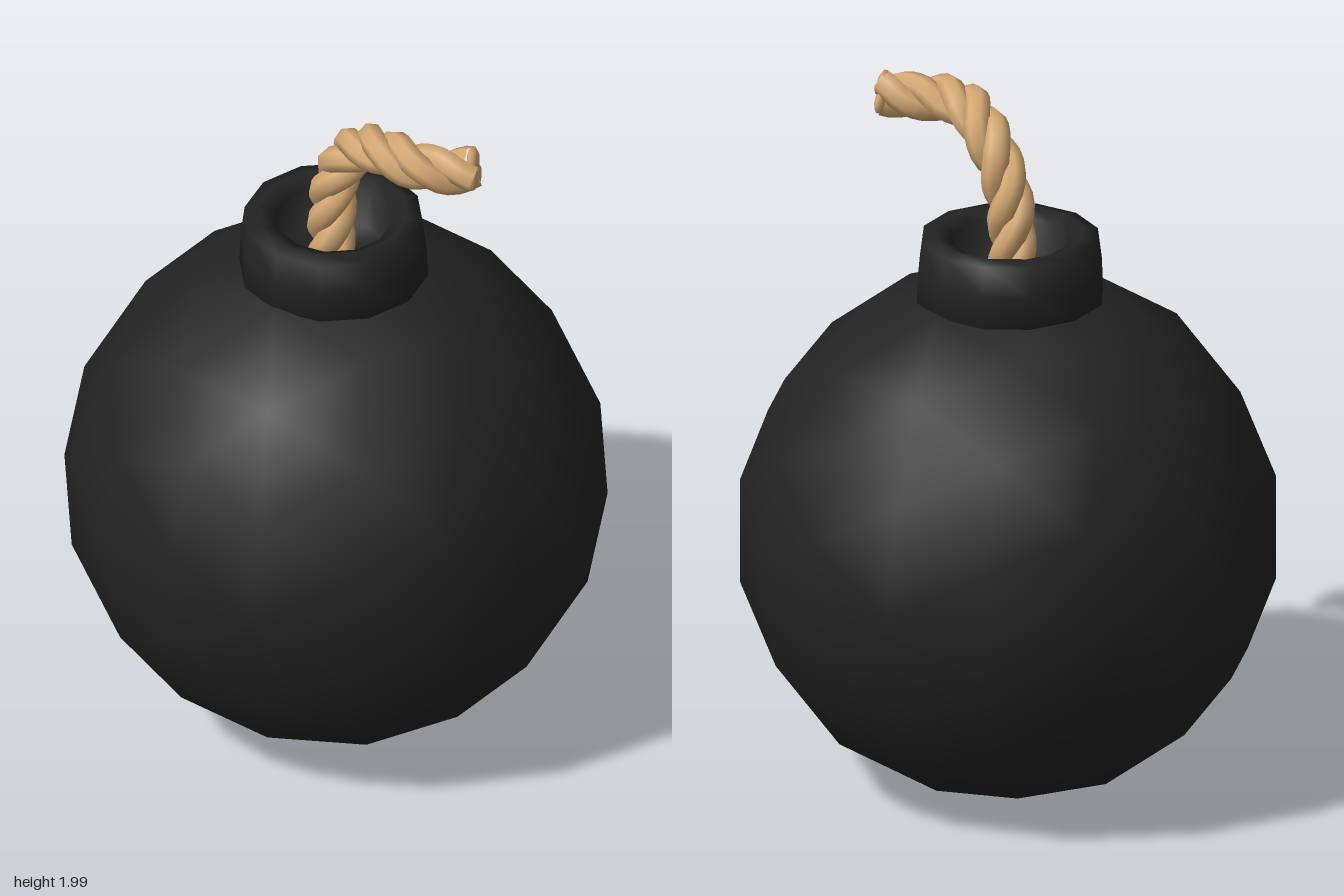
import * as THREE from 'three';

export function createModel() {
  const group = new THREE.Group();
  const iron = new THREE.MeshStandardMaterial({ color: 0x232323 });
  iron.name = 'black iron';
  const hemp = new THREE.MeshStandardMaterial({ color: 0xd4a873 });
  hemp.name = 'tan rope';

  const add = (name, geometry, material, parent = group) => {
    const mesh = new THREE.Mesh(geometry, material);
    mesh.name = name;
    parent.add(mesh);
    return mesh;
  };

  // Round body, coarse facets with smooth normals
  const body = add('body', new THREE.IcosahedronGeometry(0.75, 2), iron);
  body.position.y = 0.747;

  // Collar with a sunken well for the fuse
  const profile = [
    [0.22, 1.42], [0.262, 1.44], [0.258, 1.53], [0.247, 1.615], [0.205, 1.625],
    [0.162, 1.605], [0.14, 1.5], [0, 1.497],
  ].map(([r, y]) => new THREE.Vector2(r, y));
  const collar = add('collar', new THREE.LatheGeometry(profile, 12), iron);
  collar.position.x = -0.008;

  // Fuse: three strands twisted around a bent centre line
  const fuse = new THREE.Group();
  fuse.name = 'fuse';
  group.add(fuse);
  const centre = new THREE.CatmullRomCurve3([
    [-0.015, 1.47, 0], [-0.015, 1.62, 0], [0.005, 1.76, 0], [0.075, 1.875, 0],
    [0.19, 1.93, 0.025], [0.3, 1.928, 0.02], [0.375, 1.922, -0.025], [0.435, 1.928, -0.06],
  ].map((p) => new THREE.Vector3(...p)));
  const steps = 36, turns = 2.5, strandRadius = 0.038, offset = 0.031;
  const frames = centre.computeFrenetFrames(steps, false);
  for (let s = 0; s < 3; s++) {
    const points = [];
    for (let i = 0; i <= steps; i++) {
      const t = i / steps;
      const a = (s / 3 + t * turns) * Math.PI * 2;
      points.push(centre.getPointAt(t)
        .addScaledVector(frames.normals[i], Math.cos(a) * offset)
        .addScaledVector(frames.binormals[i], Math.sin(a) * offset));
    }
    const path = new THREE.CatmullRomCurve3(points);
    add('fuseStrand', new THREE.TubeGeometry(path, steps, strandRadius, 7), hemp, fuse);
    // Blunt strand end
    const tip = add('fuseStrandEnd', new THREE.SphereGeometry(strandRadius, 7, 5), hemp, fuse);
    tip.position.copy(points[steps]);
    tip.quaternion.setFromUnitVectors(new THREE.Vector3(0, 1, 0), frames.tangents[steps]);
    tip.scale.y = 0.45;
  }
  return group;
}
